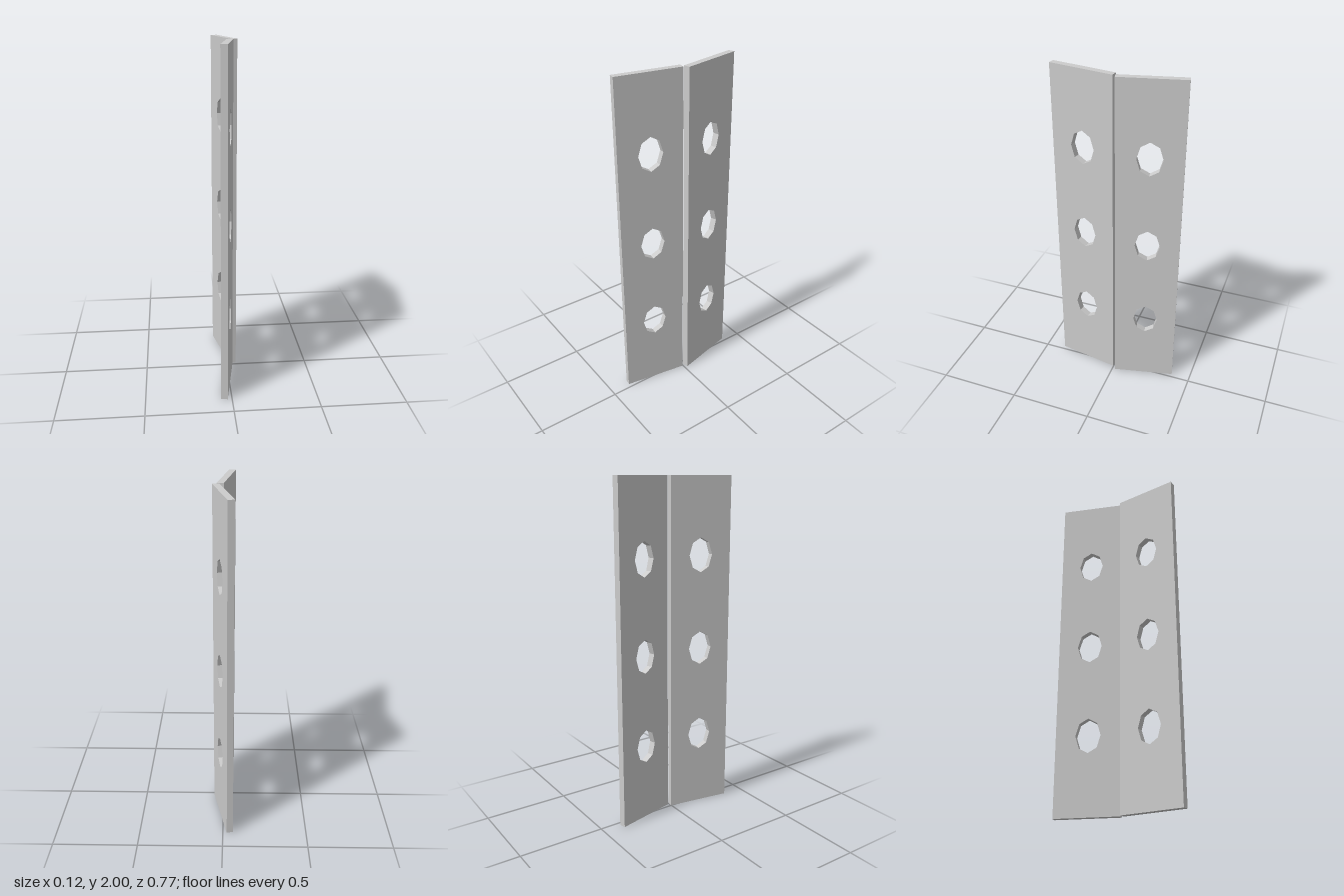
import * as THREE from 'three';

const HEIGHT = 2, THICKNESS = 0.038;
const HOLE_HEIGHTS = [0.452, 1.0, 1.554];
const HOLE_RX = 0.073, HOLE_RY = 0.1, HOLE_SIDES = 8;

// Upright plate with three eight-sided holes, running between two (x, z) points on its centre line
function createLeaf(name, [x0, z0], [x1, z1], material) {
  const half = Math.hypot(x1 - x0, z1 - z0) / 2;
  const shape = new THREE.Shape([
    new THREE.Vector2(-half, 0), new THREE.Vector2(half, 0),
    new THREE.Vector2(half, HEIGHT), new THREE.Vector2(-half, HEIGHT),
  ]);

  // Screw holes
  for (const y of HOLE_HEIGHTS) {
    const points = [];
    for (let i = 0; i < HOLE_SIDES; i++) {
      const a = -i / HOLE_SIDES * Math.PI * 2;
      points.push(new THREE.Vector2(HOLE_RX * Math.cos(a), y + HOLE_RY * Math.sin(a)));
    }
    shape.holes.push(new THREE.Path(points));
  }

  const geometry = new THREE.ExtrudeGeometry(shape, { depth: THICKNESS, bevelEnabled: false });
  geometry.translate(0, 0, -THICKNESS / 2);
  const leaf = new THREE.Mesh(geometry, material);
  leaf.name = name;
  leaf.position.set((x0 + x1) / 2, 0, (z0 + z1) / 2);
  leaf.rotation.y = -Math.atan2(z1 - z0, x1 - x0);
  return leaf;
}

export function createModel() {
  const model = new THREE.Group();
  model.name = 'hingePlates';
  const material = new THREE.MeshStandardMaterial({ color: 0xcccccc, flatShading: true });

  // Two leaves meeting at a shallow angle
  model.add(
    createLeaf('backLeaf', [-0.042, -0.38], [0.0425, -0.014], material),
    createLeaf('frontLeaf', [0.019, 0], [-0.0445, 0.378], material),
  );
  return model;
}
